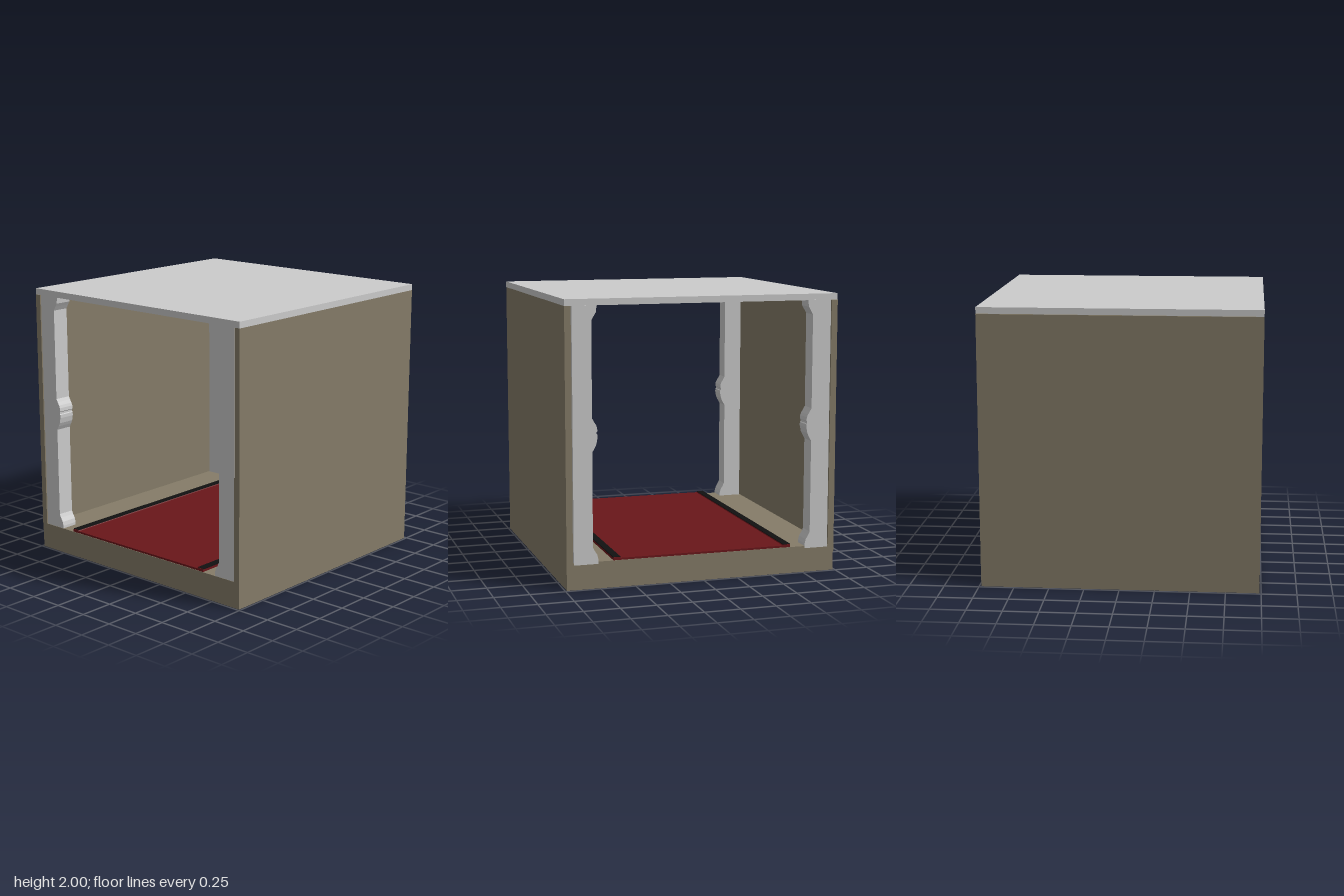
import * as THREE from 'three';

const mat = (color) => new THREE.MeshStandardMaterial({ color, roughness: 0.9 });

export function createModel() {
  const group = new THREE.Group();
  const wallMat = mat(0x857c68);
  const greyMat = mat(0xcccccc);
  const redMat = mat(0x6a161a);
  const blackMat = mat(0x111111);

  // Box given by its minimum and maximum corners
  function box(name, material, [x0, y0, z0], [x1, y1, z1]) {
    const geo = new THREE.BoxGeometry(x1 - x0, y1 - y0, z1 - z0);
    geo.translate((x0 + x1) / 2, (y0 + y1) / 2, (z0 + z1) / 2);
    const mesh = new THREE.Mesh(geo, material);
    mesh.name = name;
    group.add(mesh);
  }

  // Profile of [z, y] points extruded along x, from xEnd towards -x
  function extrudeX(name, material, points, depth, xEnd) {
    const shape = new THREE.Shape(points.map(([z, y]) => new THREE.Vector2(z, y)));
    const geo = new THREE.ExtrudeGeometry(shape, { depth, bevelEnabled: false });
    geo.rotateY(-Math.PI / 2);
    geo.translate(xEnd, 0, 0);
    const mesh = new THREE.Mesh(geo, material);
    mesh.name = name;
    group.add(mesh);
  }

  // Shell: floor slab, two walls and roof, open at both x ends
  box('floor', wallMat, [-0.988, 0, -0.985], [0.985, 0.19, 0.988]);
  box('frontWall', wallMat, [-0.988, 0.19, 0.943], [0.985, 1.955, 0.988]);
  box('backWall', wallMat, [-0.988, 0.13, -0.99], [0.985, 1.953, -0.945]);
  box('roof', greyMat, [-0.988, 1.955, -0.986], [0.985, 2, 0.988]);

  // Corner pillars with flared ends and a grooved middle collar
  const inner = [
    [0.765, 0.175], [0.765, 0.21], [0.772, 0.24], [0.79, 0.27], [0.802, 0.295],
    [0.802, 0.955], [0.785, 0.985], [0.773, 1.01], [0.765, 1.05],
    [0.765, 1.075], [0.77, 1.08], [0.77, 1.095], [0.765, 1.1],
    [0.767, 1.125], [0.775, 1.145], [0.79, 1.168], [0.802, 1.19],
    [0.802, 1.855], [0.785, 1.885], [0.77, 1.91], [0.765, 1.957],
  ];
  const profile = [...inner, [0.938, 1.957], [0.938, 0.175]];
  for (const [side, s] of [['front', 1], ['back', -1]]) {
    const points = profile.map(([z, y]) => [z * s, y]);
    extrudeX(side + 'LeftPillar', greyMat, points, 0.125, 0.988);
    extrudeX(side + 'RightPillar', greyMat, points, 0.125, -0.86);
  }

  // Carpet runner with raised borders, topped by dark strips
  extrudeX('carpet', redMat, [
    [-0.655, 0.188], [0.655, 0.188], [0.655, 0.211], [0.605, 0.211], [0.6, 0.204],
    [-0.6, 0.204], [-0.605, 0.211], [-0.655, 0.211],
  ], 1.965, 0.981);
  for (const s of [1, -1]) {
    box(s > 0 ? 'frontCarpetBorder' : 'backCarpetBorder', blackMat,
      [-0.98, 0.208, s * 0.63 - 0.026], [0.978, 0.214, s * 0.63 + 0.026]);
  }

  return group;
}
